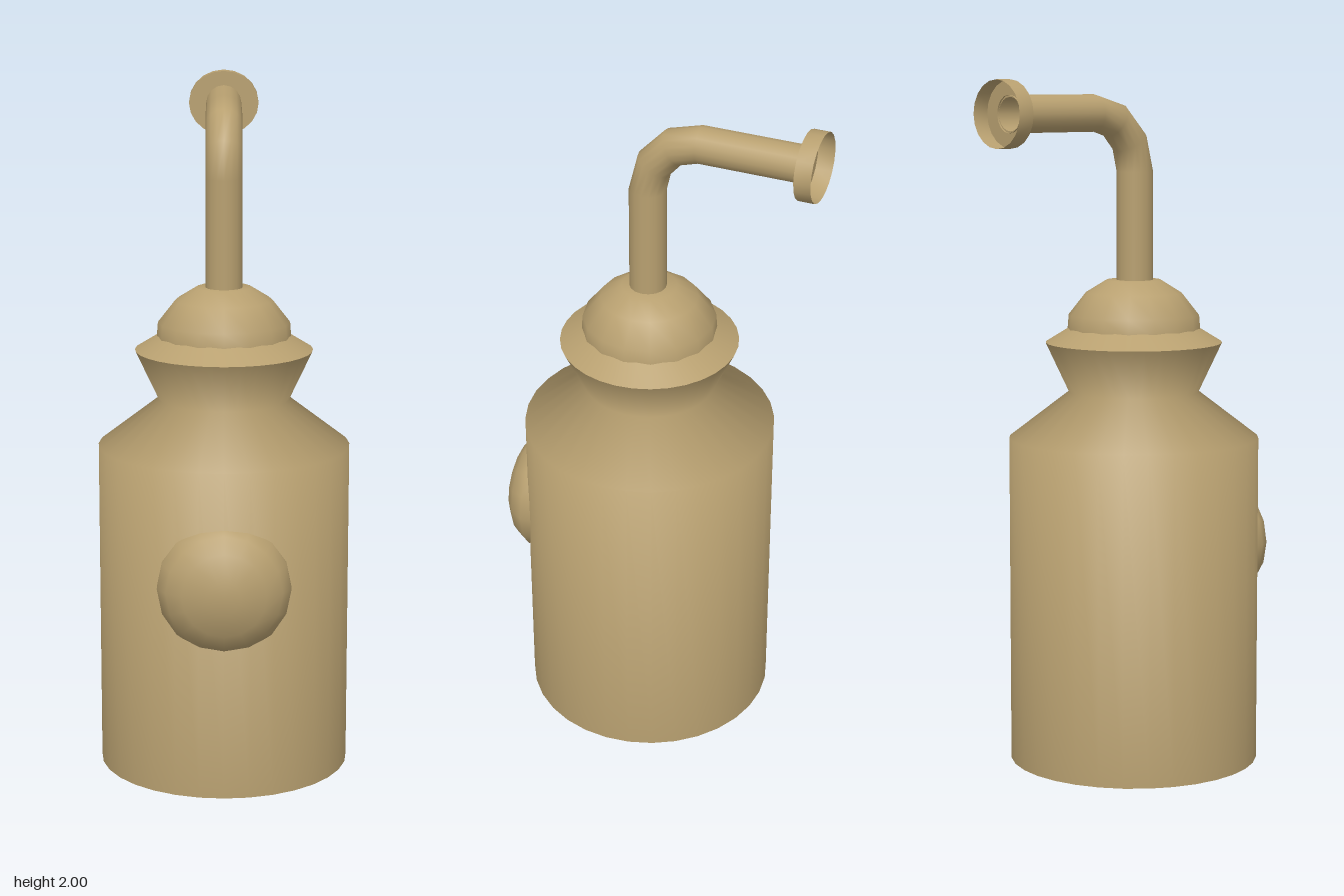
import * as THREE from 'three';
import { toCreasedNormals } from 'three/addons/utils/BufferGeometryUtils.js';

export function createModel() {
  const model = new THREE.Group();
  model.name = 'canister';
  const tan = new THREE.MeshStandardMaterial({ color: 0xb8a070, side: THREE.DoubleSide });
  tan.name = 'tan';
  const axisZ = 0.03;

  const add = (name, geometry) => {
    const mesh = new THREE.Mesh(geometry, tan);
    mesh.name = name;
    model.add(mesh);
    return mesh;
  };
  const lathe = (profile, segments, crease) => toCreasedNormals(
    new THREE.LatheGeometry(profile.map(([r, y]) => new THREE.Vector2(r, y)), segments), crease);

  // Open-bottomed body with sloping shoulder and flared collar
  add('body', lathe([[0.366, 0], [0.366, 0.96], [0.19, 1.095], [0.258, 1.24], [0.185, 1.285]], 32, 1.4))
    .position.z = axisZ;

  // Cap dome on the collar
  add('capDome', lathe([[0.195, 1.27], [0.191, 1.32], [0.14, 1.385], [0.08, 1.422], [0, 1.422]], 16, 0.9))
    .position.z = axisZ;

  // Round boss on the front of the body
  const boss = add('frontBoss', lathe([[0.19, 0.33], [0.19, 0.375], [0.165, 0.415], [0.12, 0.445], [0.047, 0.468], [0, 0.469]], 16, 0.9));
  boss.rotation.x = Math.PI / 2;
  boss.position.y = 0.62;

  // Pipe rising from the dome and bending backward in three facets
  const points = [new THREE.Vector3(0, 1.41, 0.034)];
  const tangents = [new THREE.Vector3(0, 1, 0)];
  for (let i = 0; i <= 3; i++) {
    const a = i * Math.PI / 6;
    points.push(new THREE.Vector3(0, 1.735 + 0.17 * Math.sin(a), -0.12 + 0.154 * Math.cos(a)));
    tangents.push(new THREE.Vector3(0, Math.cos(a), -Math.sin(a)));
  }
  points.push(new THREE.Vector3(0, 1.905, -0.425));
  tangents.push(new THREE.Vector3(0, 0, -1));
  const path = new THREE.Curve();
  const at = (list) => (u, target = new THREE.Vector3()) => target.copy(list[Math.round(u * (list.length - 1))]);
  path.getPointAt = at(points);
  path.getTangentAt = at(tangents);
  add('pipe', new THREE.TubeGeometry(path, points.length - 1, 0.053, 16));

  // Shallow cup flange at the pipe end, open to the back
  const flange = add('pipeFlange', lathe([[0.052, 0], [0.105, 0], [0.105, 0.048]], 20, 0.9));
  flange.rotation.x = -Math.PI / 2;
  flange.scale.z = 0.91;
  flange.position.set(0, 1.905, -0.42);

  return model;
}
